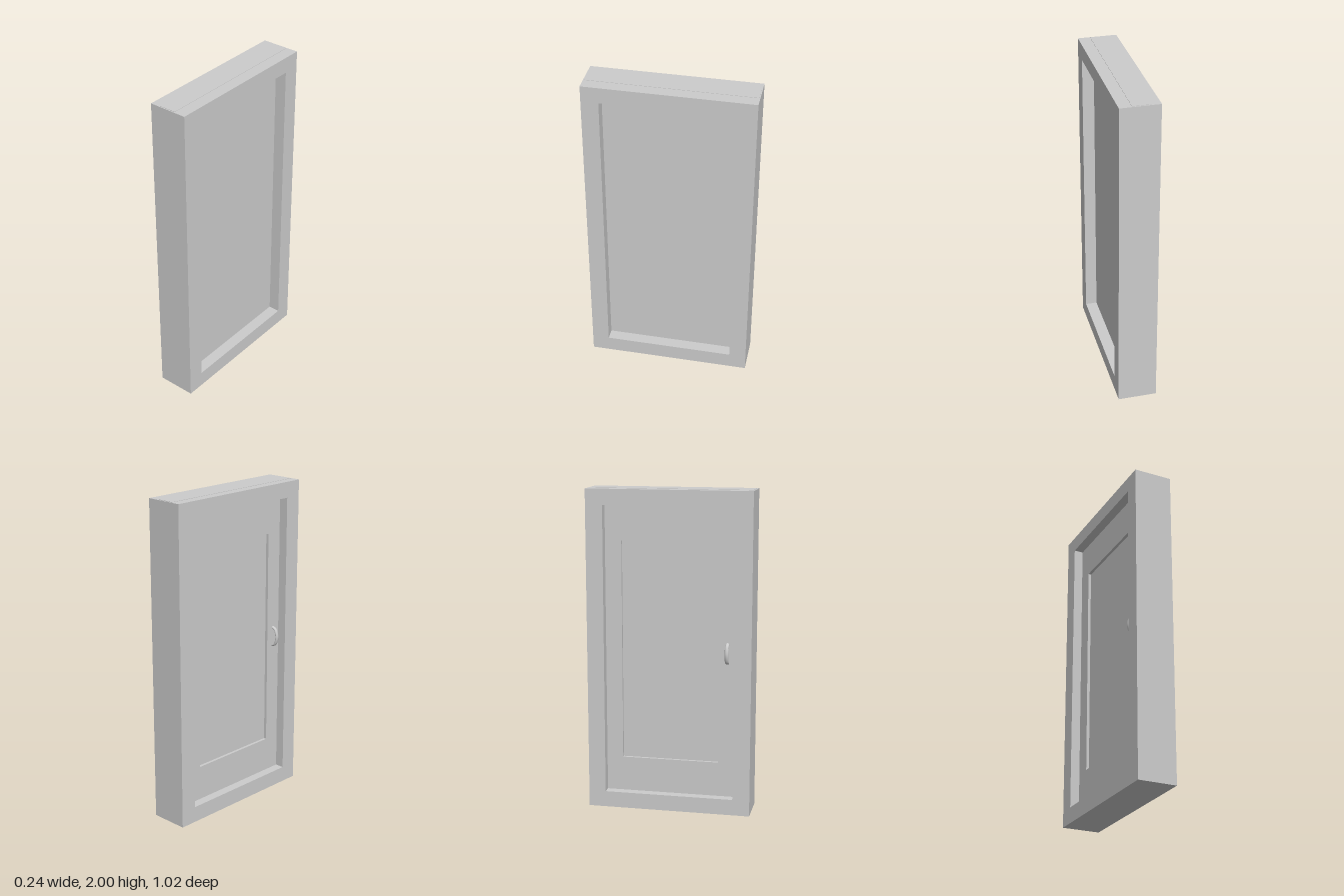
import * as THREE from 'three';

const grey = new THREE.MeshStandardMaterial({ color: 0xcccccc });

function add(group, name, geometry) {
  const mesh = new THREE.Mesh(geometry, grey);
  mesh.name = name;
  group.add(mesh);
  return mesh;
}

// Rectangle in the door plane, as corner points
function rect(halfWidth, bottom, top) {
  return [[-halfWidth, bottom], [halfWidth, bottom], [halfWidth, top], [-halfWidth, top]]
    .map(([u, v]) => new THREE.Vector2(u, v));
}

// Rectangular ring extruded along x from x0 to x1
function ring(outer, inner, x0, x1) {
  const shape = new THREE.Shape(outer);
  shape.holes.push(new THREE.Path(inner));
  return new THREE.ExtrudeGeometry(shape, { depth: x1 - x0, bevelEnabled: false })
    .rotateY(Math.PI / 2).translate(x0, 0, 0);
}

export function createModel() {
  const model = new THREE.Group();
  model.name = 'framedDoor';

  // Deep surround with a straight opening
  const opening = rect(0.404, 0.1, 1.9);
  add(model, 'frame', ring(rect(0.51, 0, 1.998), opening, -0.12, 0.12));

  // Barely raised strip along the top
  add(model, 'topStrip', new THREE.BoxGeometry(0.107, 0.002, 1.005)).position.set(-0.008, 1.999, 0);

  // Door leaf: flat on the +x side, shallow recessed panel on the -x side
  const door = new THREE.Group();
  door.name = 'door';
  model.add(door);
  add(door, 'doorStilesAndRails', ring(opening, rect(0.302, 0.317, 1.683), -0.062, -0.044));
  add(door, 'doorPanel', new THREE.BoxGeometry(0.091, 1.8, 0.808)).position.set(0.0015, 1, 0);

  // Bowed pull handle
  const bow = new THREE.CatmullRomCurve3([
    [-0.058, 0.95], [-0.082, 0.962], [-0.096, 1.01], [-0.082, 1.058], [-0.058, 1.07],
  ].map(([x, y]) => new THREE.Vector3(x, y, 0)));
  const handle = add(door, 'handle', new THREE.TubeGeometry(bow, 24, 0.008, 10));
  handle.scale.z = 1.5;
  handle.position.z = 0.355;
  return model;
}
